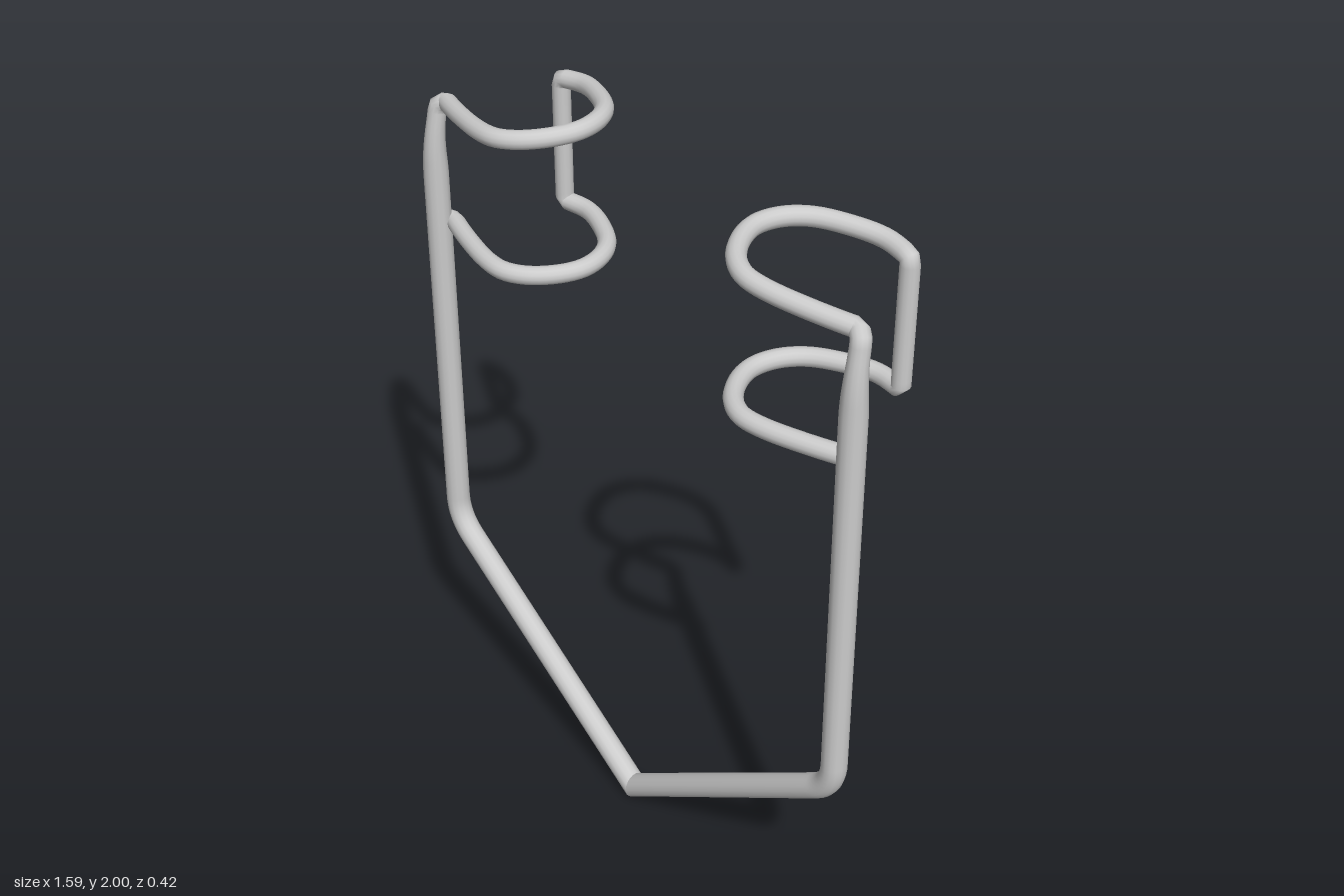
import * as THREE from 'three';

const POST_R = 0.034, CLIP_R = 0.025, SEGMENTS = 260, SIDES = 14;
const V = (x, y, z) => new THREE.Vector3(x, y, z);

// Plan outline (x, z) of one hook-shaped clip, from the post round to the back
const HOOK = [[0.73, 0.112], [0.69, 0.127], [0.61, 0.153], [0.51, 0.178], [0.44, 0.18], [0.38, 0.148],
  [0.332, 0.085], [0.312, 0.02], [0.325, -0.05], [0.365, -0.108], [0.43, -0.15], [0.53, -0.186], [0.617, -0.177]];

function hookPoints(heightAt) {
  const curve = new THREE.CatmullRomCurve3(HOOK.map(([x, z]) => V(x, heightAt(x), z)));
  return curve.getPoints(36);
}

// Polyline with every corner rounded; the rounding never exceeds half a side
function roundedPath(points, radius) {
  const path = new THREE.CurvePath();
  let start = points[0];
  for (let i = 1; i < points.length; i++) {
    const p = points[i], next = points[i + 1];
    if (!next) {
      path.add(new THREE.LineCurve3(start, p));
      break;
    }
    const toPrev = points[i - 1].clone().sub(p), toNext = next.clone().sub(p);
    const r = Math.min(radius, toPrev.length() / 2, toNext.length() / 2);
    const a = p.clone().add(toPrev.setLength(r)), b = p.clone().add(toNext.setLength(r));
    if (start.distanceTo(a) > 1e-4) path.add(new THREE.LineCurve3(start, a));
    path.add(new THREE.QuadraticBezierCurve3(a, p, b));
    start = b;
  }
  path.arcLengthDivisions = 1000;
  return path;
}

// One bent wire: sloping base, upright post, upper hook, back drop, lower hook
function wireHalf(side) {
  const upper = hookPoints(x => 1.98 - (x - 0.31) * 0.11);
  const lower = hookPoints(() => 1.585).reverse();
  const points = [
    V(0, 0.042, 0.142), V(0.764, 0.592, 0.142), V(0.757, 1.82, 0.142),
    V(0.752, 1.925, 0.125), ...upper, ...lower, V(0.75, 1.585, 0.118),
  ];
  points.forEach(p => { p.x *= side; });
  const path = roundedPath(points, 0.075);
  const geometry = new THREE.TubeGeometry(path, SEGMENTS, 1, SIDES, false);
  const pos = geometry.attributes.position;
  const length = path.getLength(), tangent = path.getTangentAt(0), v = V(0, 0, 0);

  for (let i = 0; i <= SEGMENTS; i++) {
    // Thick post narrowing to the thinner clip wire at the top bend
    const centre = path.getPointAt(i / SEGMENTS);
    const taper = THREE.MathUtils.smoothstep(length * i / SEGMENTS, 2.06, 2.24);
    const radius = THREE.MathUtils.lerp(POST_R, CLIP_R, taper);
    for (let j = 0; j <= SIDES; j++) {
      const k = i * (SIDES + 1) + j;
      v.fromBufferAttribute(pos, k).sub(centre).multiplyScalar(radius).add(centre);
      // Mitre the first ring where the two halves meet
      if (i === 0) v.addScaledVector(tangent, -v.x / tangent.x);
      pos.setXYZ(k, v.x, v.y, v.z);
    }
  }
  geometry.computeBoundingSphere();
  return geometry;
}

export function createModel() {
  const group = new THREE.Group();
  group.name = 'wireHolder';
  const material = new THREE.MeshStandardMaterial({ color: 0xcccccc });
  for (const [name, side] of [['leftWire', 1], ['rightWire', -1]]) {
    const mesh = new THREE.Mesh(wireHalf(side), material);
    mesh.name = name;
    group.add(mesh);
  }
  return group;
}
